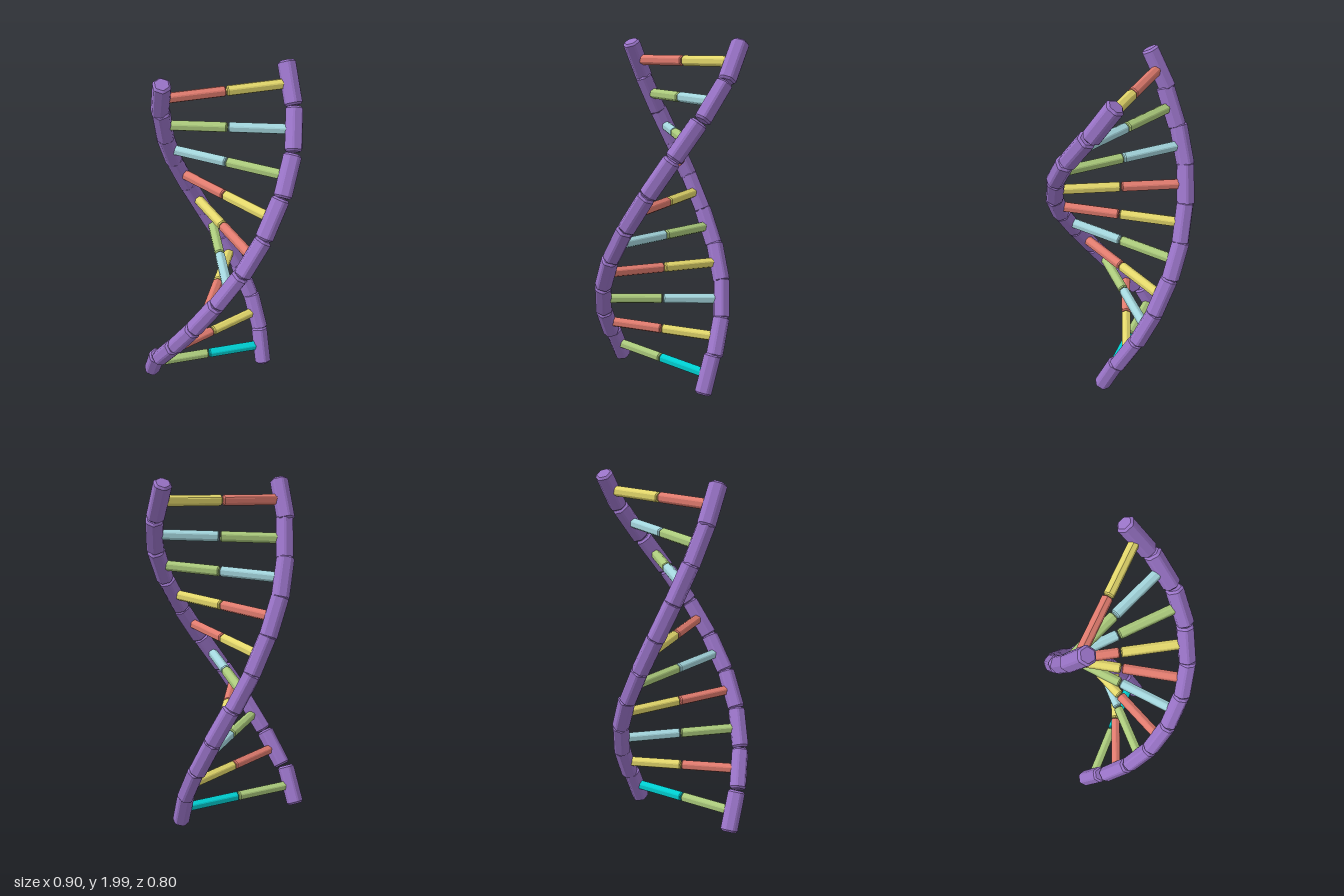
import * as THREE from 'three';

const PURPLE = 0x9a74c8, RED = 0xe07b6e, YELLOW = 0xe3d76b;
const GREEN = 0xaac97b, BLUE = 0xa3d5dc, CYAN = 0x00ced1;

// [x, z] of each backbone segment's centre, from bottom to top
const FRONT = [[-0.4, -0.02], [-0.345, 0.12], [-0.26, 0.235], [-0.155, 0.31], [-0.03, 0.345],
  [0.1, 0.34], [0.215, 0.285], [0.315, 0.195], [0.38, 0.06], [0.393, -0.085]];
const BACK = [[0.28, -0.05], [0.267, -0.155], [0.215, -0.25], [0.14, -0.31], [0.035, -0.345],
  [-0.06, -0.342], [-0.15, -0.315], [-0.22, -0.26], [-0.262, -0.175], [-0.283, -0.09]];

// Colours of each rung's two halves, front strand side first
const RUNGS = [[GREEN, CYAN], [RED, YELLOW], [GREEN, BLUE], [RED, YELLOW], [BLUE, GREEN],
  [RED, YELLOW], [YELLOW, RED], [GREEN, BLUE], [BLUE, GREEN], [YELLOW, RED]];

const materials = new Map();
function material(color) {
  if (!materials.has(color)) {
    materials.set(color, new THREE.MeshStandardMaterial({ color, flatShading: true }));
  }
  return materials.get(color);
}

// Hexagonal bar with chamfered edges from p to q; one corner points towards ref
function bar(name, p, q, radius, bevel, ref, color) {
  const cut = 0.09, inner = radius - bevel;
  const shape = new THREE.Shape();
  const corner = (i) => new THREE.Vector2(Math.cos(i * Math.PI / 3), Math.sin(i * Math.PI / 3)).multiplyScalar(inner);
  const points = [];
  for (let i = 0; i < 6; i++) {
    points.push(corner(i).lerp(corner(i - 1), cut), corner(i).lerp(corner(i + 1), cut));
  }
  shape.setFromPoints(points);
  const length = p.distanceTo(q);
  const geometry = new THREE.ExtrudeGeometry(shape, {
    depth: length - 2 * bevel, bevelEnabled: true, bevelThickness: bevel, bevelSize: bevel, bevelSegments: 1, steps: 1,
  });
  geometry.translate(0, 0, bevel - length / 2);

  const z = q.clone().sub(p).normalize();
  const x = ref.clone().addScaledVector(z, -ref.dot(z)).normalize();
  const y = new THREE.Vector3().crossVectors(z, x);
  const mesh = new THREE.Mesh(geometry, material(color));
  mesh.quaternion.setFromRotationMatrix(new THREE.Matrix4().makeBasis(x, y, z));
  mesh.position.copy(p).add(q).multiplyScalar(0.5);
  mesh.name = name;
  return mesh;
}

// One backbone strand: a bar at each centre, following the curve
function strand(name, own, other, firstDir, lastDir) {
  const group = new THREE.Group();
  group.name = name;
  own.forEach((c, i) => {
    const dir = i === 0 ? firstDir.clone()
      : i === own.length - 1 ? lastDir.clone()
        : own[i + 1].clone().sub(own[i - 1]);
    dir.normalize();
    const half = dir.clone().multiplyScalar(0.117);
    const ref = other[i].clone().sub(c).cross(dir);
    group.add(bar('backboneSegment', c.clone().sub(half), c.clone().add(half), 0.05, 0.011, ref, PURPLE));
  });
  return group;
}

export function createModel() {
  const model = new THREE.Group();
  model.name = 'doubleHelix';
  const place = (list, y0, y1) => list.map(([x, z], i) => new THREE.Vector3(x, y0 + (y1 - y0) * i / 9, z));
  const a = place(FRONT, 0.145, 1.875);
  const b = place(BACK, 0.124, 1.855);

  model.add(strand('frontStrand', a, b, new THREE.Vector3(0.02, 0.19, 0.1), new THREE.Vector3(-0.01, 0.18, -0.12)));
  model.add(strand('backStrand', b, a, new THREE.Vector3(-0.005, 0.19, -0.085), new THREE.Vector3(0, 0.19, 0.1)));

  // Rungs: two coloured halves with a narrow gap in the middle
  const up = new THREE.Vector3(0, 1, 0);
  RUNGS.forEach((colors, i) => {
    const rung = new THREE.Group();
    rung.name = 'rung';
    [[a[i], b[i]], [b[i], a[i]]].forEach(([p, q], k) => {
      rung.add(bar('rungHalf', p.clone().lerp(q, 0.03), p.clone().lerp(q, 0.495), 0.029, 0.006, up, colors[k]));
    });
    model.add(rung);
  });
  return model;
}
